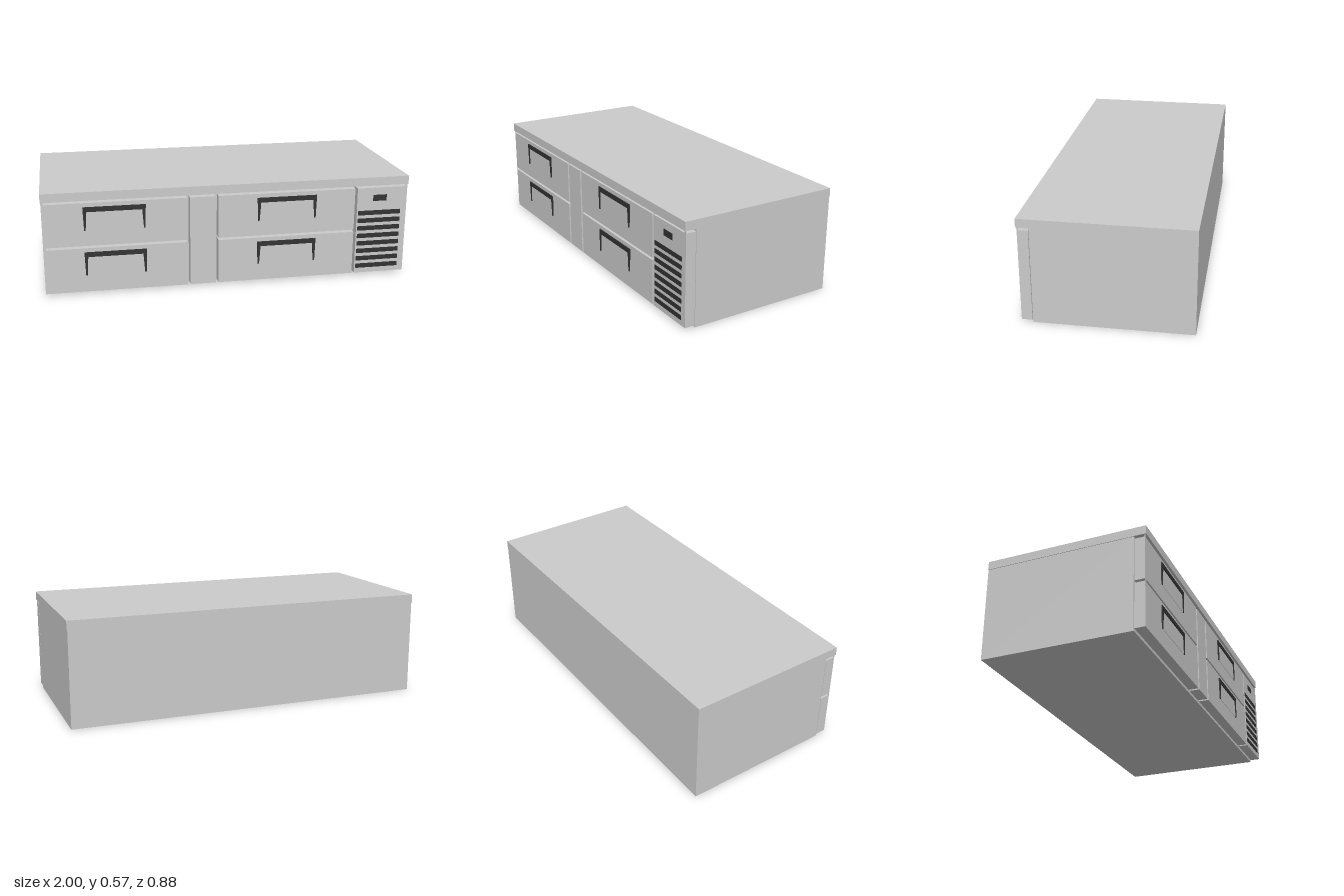
import * as THREE from 'three';

const steel = new THREE.MeshStandardMaterial({ color: 0xcccccc });
const dark = new THREE.MeshStandardMaterial({ color: 0x333333 });
const FACE = 0.437; // z of the drawer fronts

export function createModel() {
  const group = new THREE.Group();

  const add = (name, geometry, material = steel) => {
    const mesh = new THREE.Mesh(geometry, material);
    mesh.name = name;
    group.add(mesh);
    return mesh;
  };

  // Box given by its limits on each axis
  const box = (name, x0, x1, y0, y1, z0, z1, material) =>
    add(name, new THREE.BoxGeometry(x1 - x0, y1 - y0, z1 - z0), material)
      .position.set((x0 + x1) / 2, (y0 + y1) / 2, (z0 + z1) / 2);

  // Cabinet and worktop
  box('cabinet', -0.997, 0.997, 0, 0.52, -0.442, 0.378);
  box('worktop', -1, 1, 0.52, 0.567, -0.442, 0.443);

  // Tapered U-shaped handle surround, centred on x, hanging down from its top
  const handleShape = new THREE.Shape([
    [-0.165, 0], [0.165, 0], [0.161, -0.128], [0.153, -0.128],
    [0.146, -0.026], [-0.146, -0.026], [-0.153, -0.128], [-0.161, -0.128],
  ].map(([x, y]) => new THREE.Vector2(x, y)));
  const handleGeometry = new THREE.ExtrudeGeometry(handleShape, { depth: 0.006, bevelEnabled: false });

  // Two columns of two drawers with handles
  for (const [side, x0, x1, hx] of [['right', -0.997, -0.235, -0.62], ['left', -0.065, 0.697, 0.313]]) {
    for (const [level, y0, y1, hy] of [['Lower', 0.012, 0.257, 0.235], ['Upper', 0.27, 0.506, 0.484]]) {
      box(`${side}${level}Drawer`, x0, x1, y0, y1, 0.381, FACE);
      add(`${side}${level}Handle`, handleGeometry, dark).position.set(hx, hy, FACE);
      box(`${side}${level}HandlePlate`, hx - 0.153, hx + 0.153, hy - 0.126, hy - 0.02, FACE, FACE + 0.002);
    }
  }

  // Fixed front panels
  box('centrePanel', -0.22, -0.08, 0.012, 0.506, 0.381, FACE);
  box('machinePanel', 0.711, 0.997, 0.012, 0.506, 0.381, FACE);

  // Thin tabs closing the ends of the horizontal gaps
  for (const [x, y0, y1] of [[-0.99, 0.506, 0.52], [0.99, 0.506, 0.52], [-0.99, 0.257, 0.27]]) {
    box('gapTab', x - 0.007, x + 0.007, y0, y1, FACE - 0.002, FACE);
  }

  // Ventilation slots with softened corners
  const w = 0.123, h = 0.013, r = 0.005;
  const slot = new THREE.Shape();
  slot.moveTo(-w + r, -h).lineTo(w - r, -h).quadraticCurveTo(w, -h, w, -h + r);
  slot.lineTo(w, h - r).quadraticCurveTo(w, h, w - r, h);
  slot.lineTo(-w + r, h).quadraticCurveTo(-w, h, -w, h - r);
  slot.lineTo(-w, -h + r).quadraticCurveTo(-w, -h, -w + r, -h);
  const slotGeometry = new THREE.ExtrudeGeometry(slot, { depth: 0.001, bevelEnabled: false, curveSegments: 4 });
  for (let i = 0; i < 8; i++) {
    add('ventSlot', slotGeometry, dark).position.set(0.841, 0.053 + i * 0.0443, FACE);
  }

  // Temperature display
  box('display', 0.802, 0.88, 0.43, 0.465, FACE - 0.005, FACE + 0.001, dark);

  return group;
}
